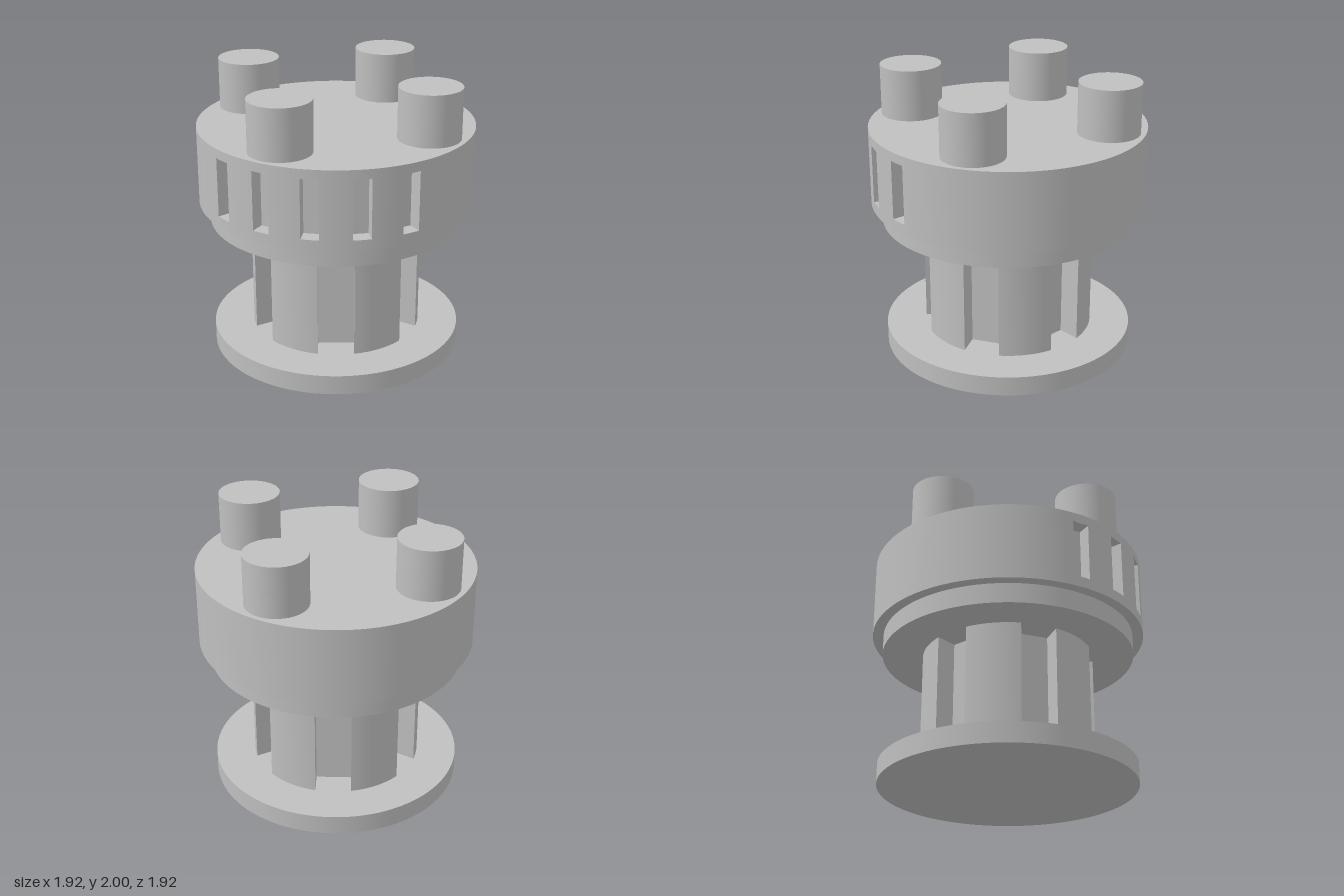
import * as THREE from 'three';
import { mergeGeometries, toCreasedNormals } from 'three/addons/utils/BufferGeometryUtils.js';

const RAD = Math.PI / 180;

export function createModel() {
  const group = new THREE.Group();
  const grey = new THREE.MeshStandardMaterial({ color: 0xbfbfbf });

  const add = (name, geometry) => {
    const mesh = new THREE.Mesh(geometry, grey);
    mesh.name = name;
    group.add(mesh);
    return mesh;
  };
  const disc = (name, r, y0, y1, x = 0, z = 0) =>
    add(name, new THREE.CylinderGeometry(r, r, y1 - y0, 120)).position.set(x, (y0 + y1) / 2, z);

  // Base plate and the flange under the head
  disc('basePlate', 0.887, 0, 0.14);
  disc('upperFlange', 0.887, 0.955, 1.095);

  // Column with six ribs and flat-floored grooves between them
  const R = 0.603, half = 18, depth = 0.16, points = [];
  for (let i = 0; i < 6; i++) {
    const mid = i * 60;
    for (let a = -half; a <= half; a += 3) {
      const t = (mid + a) * RAD;
      points.push(new THREE.Vector2(R * Math.sin(t), R * Math.cos(t)));
    }
    // groove floor corners, reached by walls parallel to the groove axis
    const g = (mid + 30) * RAD;
    const inward = new THREE.Vector2(-Math.sin(g) * depth, -Math.cos(g) * depth);
    for (const a of [half, 60 - half]) {
      const t = (mid + a) * RAD;
      points.push(new THREE.Vector2(R * Math.sin(t), R * Math.cos(t)).add(inward));
    }
  }
  const column = new THREE.ExtrudeGeometry(new THREE.Shape(points), {
    depth: 0.815, bevelEnabled: false,
  });
  column.rotateX(-Math.PI / 2).translate(0, 0.14, 0);
  add('ribbedColumn', toCreasedNormals(column, 20 * RAD));

  // Head: a drum whose wall is opened by five slots
  const H = 0.962, y0 = 1.095, y1 = 1.645, s0 = 1.17, s1 = 1.58;
  const slotWidth = 0.12, slotDepth = 0.1;
  const slotHalf = Math.asin(slotWidth / 2 / H) / RAD;
  const slots = [-20, 0, 20, 40, 60];
  const parts = [];
  const wall = (from, to, low, high) => {
    const segments = Math.max(2, Math.ceil((to - from) / 3));
    parts.push(new THREE.CylinderGeometry(H, H, high - low, segments, 1, true,
      from * RAD, (to - from) * RAD).translate(0, (low + high) / 2, 0));
  };
  slots.forEach((angle, i) => {
    const next = i < slots.length - 1 ? slots[i + 1] : slots[0] + 360;
    wall(angle + slotHalf, next - slotHalf, y0, y1);
    wall(angle - slotHalf, angle + slotHalf, y0, s0);
    wall(angle - slotHalf, angle + slotHalf, s1, y1);

    // pocket: a box turned inside out with its outer face removed
    const pocket = new THREE.BoxGeometry(slotWidth, s1 - s0, slotDepth);
    const index = Array.from(pocket.index.array);
    index.splice(24, 6);
    pocket.setIndex(index);
    pocket.scale(-1, 1, 1);
    pocket.computeVertexNormals();
    pocket.translate(0, (s0 + s1) / 2, H * Math.cos(slotHalf * RAD) - slotDepth / 2);
    parts.push(pocket.rotateY(angle * RAD));
  });
  parts.push(new THREE.CircleGeometry(H, 120).rotateX(-Math.PI / 2).translate(0, y1, 0));
  parts.push(new THREE.CircleGeometry(H, 120).rotateX(Math.PI / 2).translate(0, y0, 0));
  add('slottedHead', mergeGeometries(parts));

  // Four pegs on top
  for (let i = 0; i < 4; i++) {
    const t = i * Math.PI / 2;
    disc('topPeg' + (i + 1), 0.214, y1, 2, 0.714 * Math.sin(t), 0.714 * Math.cos(t));
  }
  return group;
}
